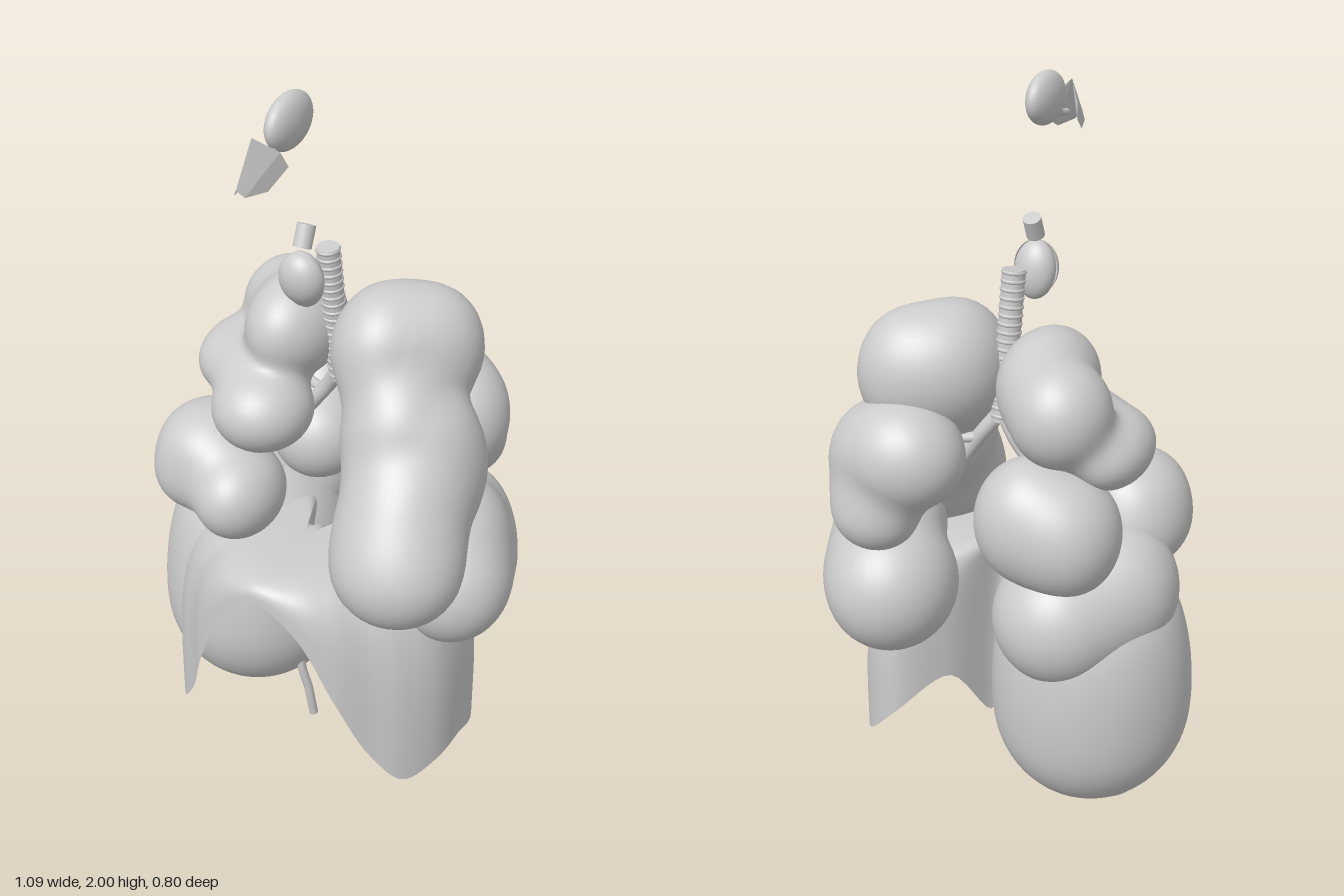
import * as THREE from 'three';
import { mergeVertices } from 'three/addons/utils/BufferGeometryUtils.js';
import { ConvexGeometry } from 'three/addons/geometries/ConvexGeometry.js';

const V = (x, y, z) => new THREE.Vector3(x, y, z);

// Smoothly blended distance to a list of ellipsoids [x, y, z, rx, ry, rz]
function blendDistance(p, balls, k) {
  let d = Infinity;
  for (const [x, y, z, a, b, c] of balls) {
    const dx = p.x - x, dy = p.y - y, dz = p.z - z;
    const k0 = Math.hypot(dx / a, dy / b, dz / c);
    const k1 = Math.hypot(dx / a / a, dy / b / b, dz / c / c) || 1;
    const e = k0 < 1e-4 ? -Math.min(a, b, c) : (k0 * (k0 - 1)) / k1;
    if (d === Infinity) { d = e; continue; }
    const h = Math.max(k - Math.abs(d - e), 0) / k;
    d = Math.min(d, e) - h * h * k * 0.25;
  }
  return d;
}

// Rounded organ: a sphere pushed outwards until it meets the blended ellipsoids
function lobe(center, balls, k) {
  let g = new THREE.SphereGeometry(1, 72, 54);
  g.deleteAttribute('uv');
  g.deleteAttribute('normal');
  g = mergeVertices(g, 1e-4);
  const c = V(...center), pos = g.attributes.position, dir = V(), p = V();
  for (let i = 0; i < pos.count; i++) {
    dir.fromBufferAttribute(pos, i).normalize();
    let hi = 1;
    for (let r = 0.02; r < 1; r += 0.01) {
      if (blendDistance(p.copy(c).addScaledVector(dir, r), balls, k) > 0) { hi = r; break; }
    }
    let lo = hi - 0.01;
    for (let n = 0; n < 10; n++) {
      const m = (lo + hi) / 2;
      if (blendDistance(p.copy(c).addScaledVector(dir, m), balls, k) > 0) hi = m; else lo = m;
    }
    p.copy(c).addScaledVector(dir, lo);
    pos.setXYZ(i, p.x, p.y, p.z);
  }
  g.computeVertexNormals();
  return g;
}

// Dome sheet with a front arch, low sides and a notch for the spine
function diaphragmGeometry() {
  // x, edge height, z of the left rim from front to back
  const half = [
    [0.11, 0.6, 0.375], [0.21, 0.4, 0.345], [0.29, 0.2, 0.285], [0.365, 0.1, 0.225],
    [0.42, 0.13, 0.13], [0.43, 0.14, 0.02], [0.41, 0.1, -0.11], [0.34, 0.15, -0.22],
    [0.23, 0.27, -0.26], [0.12, 0.36, -0.16], [0.055, 0.17, -0.01],
  ];
  const pts = [V(-0.01, 0.68, 0.385), ...half.map((a) => V(...a)), V(0, 0.46, 0),
    ...half.slice().reverse().map(([x, y, z]) => V(-x, y, z))];
  const rim = new THREE.CatmullRomCurve3(pts, true);
  const N = 160, M = 28, pos = [], idx = [];
  for (let j = 0; j <= M; j++) {
    const a = Math.pow(j / M, 1.4) * Math.PI / 2;
    const h = Math.pow(Math.sin(a), 0.52);
    const v = 1 - Math.pow(Math.max(Math.cos(a), 0), 0.55);
    for (let i = 0; i < N; i++) {
      const e = rim.getPoint(i / N);
      pos.push(e.x * h, 0.745 + (e.y - 0.745) * v, 0.14 + (e.z - 0.14) * h);
      if (j < M) {
        const p = j * N + i, q = j * N + (i + 1) % N;
        idx.push(p, p + N, q, q, p + N, q + N);
      }
    }
  }
  const g = new THREE.BufferGeometry();
  g.setAttribute('position', new THREE.Float32BufferAttribute(pos, 3));
  g.setIndex(idx);
  g.computeVertexNormals();
  return g;
}

export function createModel() {
  const model = new THREE.Group();
  model.name = 'respiratorySystem';
  const grey = new THREE.MeshStandardMaterial({ color: 0xcccccc, side: THREE.DoubleSide });
  grey.name = 'paleGrey';

  const add = (name, geometry, parent = model) => {
    const m = new THREE.Mesh(geometry, grey);
    m.name = name;
    parent.add(m);
    return m;
  };
  const tube = (name, points, r, sides = 14, parent = model) =>
    add(name, new THREE.TubeGeometry(new THREE.CatmullRomCurve3(points.map((p) => V(...p))), 24, r, sides), parent);
  const ellipsoid = (name, p, r, tilt = 0) => {
    const m = add(name, new THREE.SphereGeometry(1, 32, 24));
    m.position.set(...p);
    m.scale.set(...r);
    m.rotation.x = tilt;
    return m;
  };

  // Left lung
  add('leftUpperLobe', lobe([0.25, 1.03, 0.04], [
    [0.14, 1.27, -0.06, 0.145, 0.175, 0.17],
    [0.23, 1.26, -0.13, 0.135, 0.17, 0.14],
    [0.225, 1.07, 0.03, 0.155, 0.2, 0.16],
    [0.335, 0.98, 0.0, 0.11, 0.2, 0.15],
    [0.285, 0.91, 0.13, 0.165, 0.18, 0.165],
    [0.31, 0.805, 0.2, 0.175, 0.165, 0.17],
  ], 0.07));
  add('leftRearLobe', lobe([0.23, 1.04, -0.23], [
    [0.19, 1.08, -0.245, 0.165, 0.15, 0.145],
    [0.3, 1.03, -0.19, 0.12, 0.15, 0.15],
    [0.26, 0.92, -0.28, 0.12, 0.11, 0.105],
  ], 0.06));
  add('leftLowerLobe', lobe([0.34, 0.68, -0.09], [
    [0.39, 0.67, 0.03, 0.155, 0.165, 0.16],
    [0.26, 0.66, -0.21, 0.18, 0.19, 0.19],
    [0.35, 0.65, -0.1, 0.15, 0.165, 0.17],
    [0.34, 0.79, -0.06, 0.13, 0.12, 0.15],
  ], 0.08));

  // Right lung
  add('rightUpperLobe', lobe([-0.19, 1.17, -0.04], [
    [-0.135, 1.27, -0.06, 0.125, 0.145, 0.17],
    [-0.15, 1.085, 0.095, 0.135, 0.115, 0.14],
    [-0.22, 1.25, -0.175, 0.13, 0.14, 0.135],
    [-0.32, 1.13, -0.07, 0.1, 0.095, 0.15],
    [-0.22, 1.13, 0.0, 0.12, 0.1, 0.13],
  ], 0.05));
  add('rightRearLobe', lobe([-0.18, 0.95, -0.2], [
    [-0.17, 0.97, -0.24, 0.145, 0.17, 0.14],
    [-0.27, 0.94, -0.22, 0.13, 0.16, 0.15],
    [-0.11, 0.9, -0.13, 0.13, 0.13, 0.13],
  ], 0.06));
  add('rightMiddleLobe', lobe([-0.28, 0.87, 0.12], [
    [-0.34, 0.86, 0.09, 0.135, 0.135, 0.165],
    [-0.18, 0.85, 0.17, 0.115, 0.125, 0.145],
    [-0.31, 0.95, 0.1, 0.12, 0.09, 0.13],
  ], 0.08));
  add('rightLowerLobe', lobe([-0.29, 0.71, -0.14], [
    [-0.345, 0.72, -0.07, 0.16, 0.19, 0.18],
    [-0.24, 0.69, -0.21, 0.175, 0.18, 0.175],
  ], 0.08));
  add('rightBaseLobe', lobe([-0.275, 0.45, -0.06], [
    [-0.275, 0.36, -0.06, 0.27, 0.292, 0.28],
    [-0.275, 0.54, -0.07, 0.255, 0.28, 0.265],
  ], 0.08));

  // Diaphragm with its hanging strip
  add('diaphragm', diaphragmGeometry());
  const strip = tube('hangingStrip', [[0, 0.42, 0.0], [-0.035, 0.22, 0.04], [-0.015, 0.1, 0.03], [-0.005, 0.005, 0.02]], 0.013, 8);
  strip.position.x = -0.04;

  // Windpipe with rings and a closed top, and the branches into the lungs
  const windpipe = new THREE.Group();
  windpipe.name = 'windpipe';
  model.add(windpipe);
  const top = V(-0.012, 1.54, -0.01), fork = V(-0.005, 1.14, -0.065);
  tube('windpipeTube', [top.toArray(), fork.toArray()], 0.03, 20, windpipe);
  const axis = fork.clone().sub(top).normalize();
  const cap = add('windpipeTop', new THREE.CircleGeometry(0.03, 20), windpipe);
  cap.position.copy(top);
  cap.quaternion.setFromUnitVectors(V(0, 0, 1), axis.clone().negate());
  for (let i = 0; i < 18; i++) {
    const ring = add('windpipeRing', new THREE.TorusGeometry(0.027, 0.006, 8, 24), windpipe);
    ring.position.lerpVectors(top, fork, (i + 0.3) / 18);
    ring.quaternion.setFromUnitVectors(V(0, 0, 1), axis);
  }
  for (const s of [-1, 1]) {
    tube('mainBranch', [[-0.005, 1.17, -0.06], [0.04 * s, 1.11, -0.07], [0.09 * s, 1.04, -0.07], [0.16 * s, 0.94, -0.08]], 0.021, 14, windpipe);
    tube('sideBranch', [[0.06 * s, 1.08, -0.07], [0.12 * s, 1.08, -0.1], [0.18 * s, 1.1, -0.12]], 0.014, 12, windpipe);
  }

  // Voice box with front shield and short throat tube
  ellipsoid('voiceBox', [-0.015, 1.5, 0.108], [0.056, 0.078, 0.042], 0.15);
  const shield = add('voiceBoxShield', new THREE.SphereGeometry(1, 24, 20, 0, Math.PI));
  shield.position.set(-0.015, 1.505, 0.112);
  shield.scale.set(0.062, 0.072, 0.05);
  shield.rotation.x = 0.15;
  const throat = add('throatTube', new THREE.CylinderGeometry(0.024, 0.024, 0.058, 20));
  throat.position.set(-0.012, 1.616, 0.105);
  throat.rotation.x = -0.42;

  // Nasal cavity, connecting duct and the two nose wings
  ellipsoid('nasalCavity', [-0.012, 1.932, 0.17], [0.037, 0.068, 0.092], 0.08);
  tube('nasalDuct', [[-0.012, 1.9, 0.22], [-0.012, 1.875, 0.26], [-0.012, 1.865, 0.3]], 0.009, 8);
  for (const s of [-1, 1]) {
    const wing = add('noseWing', new ConvexGeometry([
      V(0, 1.945, 0.33), V(0, 1.845, 0.4), V(0.014 * s, 1.825, 0.385), V(0.034 * s, 1.82, 0.32),
      V(0.05 * s, 1.86, 0.255), V(0.04 * s, 1.9, 0.275), V(0.018 * s, 1.87, 0.32),
    ]));
    wing.position.x = -0.012;
  }
  return model;
}
